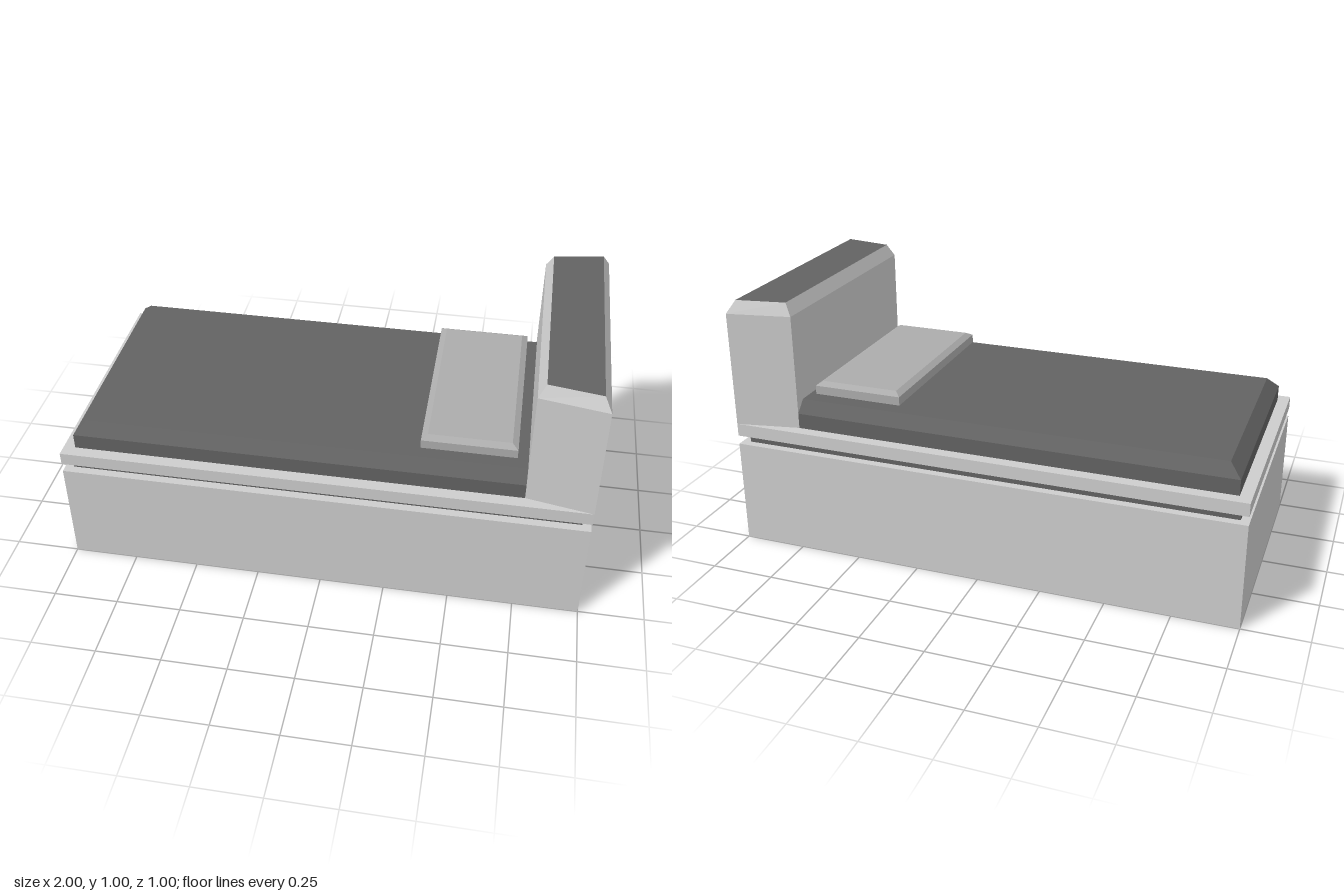
import * as THREE from 'three';

// Faceted solid lofted through four-cornered rings, bottom to top.
// Each ring is [y, x0, x1, half depth at x0, half depth at x1].
// Group 0 holds the sides and underside, group 1 the top face.
function loftGeometry(rings) {
  const corners = rings.map(([y, x0, x1, d0, d1]) => [
    [x0, y, d0], [x1, y, d1], [x1, y, -d1], [x0, y, -d0],
  ]);
  const positions = [];
  const quad = (a, b, c, d) => positions.push(...a, ...b, ...c, ...a, ...c, ...d);

  const first = corners[0];
  const last = corners[corners.length - 1];
  quad(first[3], first[2], first[1], first[0]);
  for (let r = 0; r < corners.length - 1; r++) {
    for (let i = 0; i < 4; i++) {
      const j = (i + 1) % 4;
      quad(corners[r][i], corners[r][j], corners[r + 1][j], corners[r + 1][i]);
    }
  }
  const sideCount = positions.length / 3;
  quad(last[0], last[1], last[2], last[3]);

  const geometry = new THREE.BufferGeometry();
  geometry.setAttribute('position', new THREE.Float32BufferAttribute(positions, 3));
  geometry.addGroup(0, sideCount, 0);
  geometry.addGroup(sideCount, 6, 1);
  geometry.computeVertexNormals();
  return geometry;
}

function material(name, color) {
  const m = new THREE.MeshStandardMaterial({ color });
  m.name = name;
  return m;
}

export function createModel() {
  const lightGrey = material('light grey', 0xcccccc);
  const darkGrey = material('dark grey', 0x626262);
  const midGrey = material('mid grey', 0xacacac);

  const bed = new THREE.Group();
  bed.name = 'bed';

  const add = (name, geometry, mat) => {
    const mesh = new THREE.Mesh(geometry, mat);
    mesh.name = name;
    bed.add(mesh);
  };
  const slab = (name, width, depth, bottom, top, mat) => {
    const geometry = new THREE.BoxGeometry(width, top - bottom, depth);
    geometry.translate(0, (bottom + top) / 2, 0);
    add(name, geometry, mat);
  };

  // Stacked base with a recessed shadow gap under the platform
  slab('base', 2, 1, 0, 0.415, lightGrey);
  slab('recess', 1.935, 0.935, 0.415, 0.45, darkGrey);
  slab('platform', 2, 1, 0.45, 0.5, lightGrey);

  // Mattress, bevelled on three sides and square against the headboard
  add('mattress', loftGeometry([
    [0.5, -0.955, 0.752, 0.453, 0.453],
    [0.56, -0.955, 0.752, 0.453, 0.453],
    [0.605, -0.91, 0.752, 0.41, 0.41],
  ]), [darkGrey, darkGrey]);

  // Pillow, bevelled above and below
  add('pillow', loftGeometry([
    [0.605, 0.38, 0.688, 0.352, 0.352],
    [0.619, 0.357, 0.711, 0.376, 0.376],
    [0.653, 0.357, 0.711, 0.376, 0.376],
    [0.667, 0.38, 0.688, 0.352, 0.352],
  ]), [midGrey, midGrey]);

  // Headboard, wider at the back, with a bevelled rim and a dark top
  add('headboard', loftGeometry([
    [0.5, 0.752, 1, 0.453, 0.5],
    [0.952, 0.752, 1, 0.453, 0.5],
    [1, 0.779, 0.973, 0.435, 0.469],
  ]), [lightGrey, darkGrey]);

  return bed;
}
